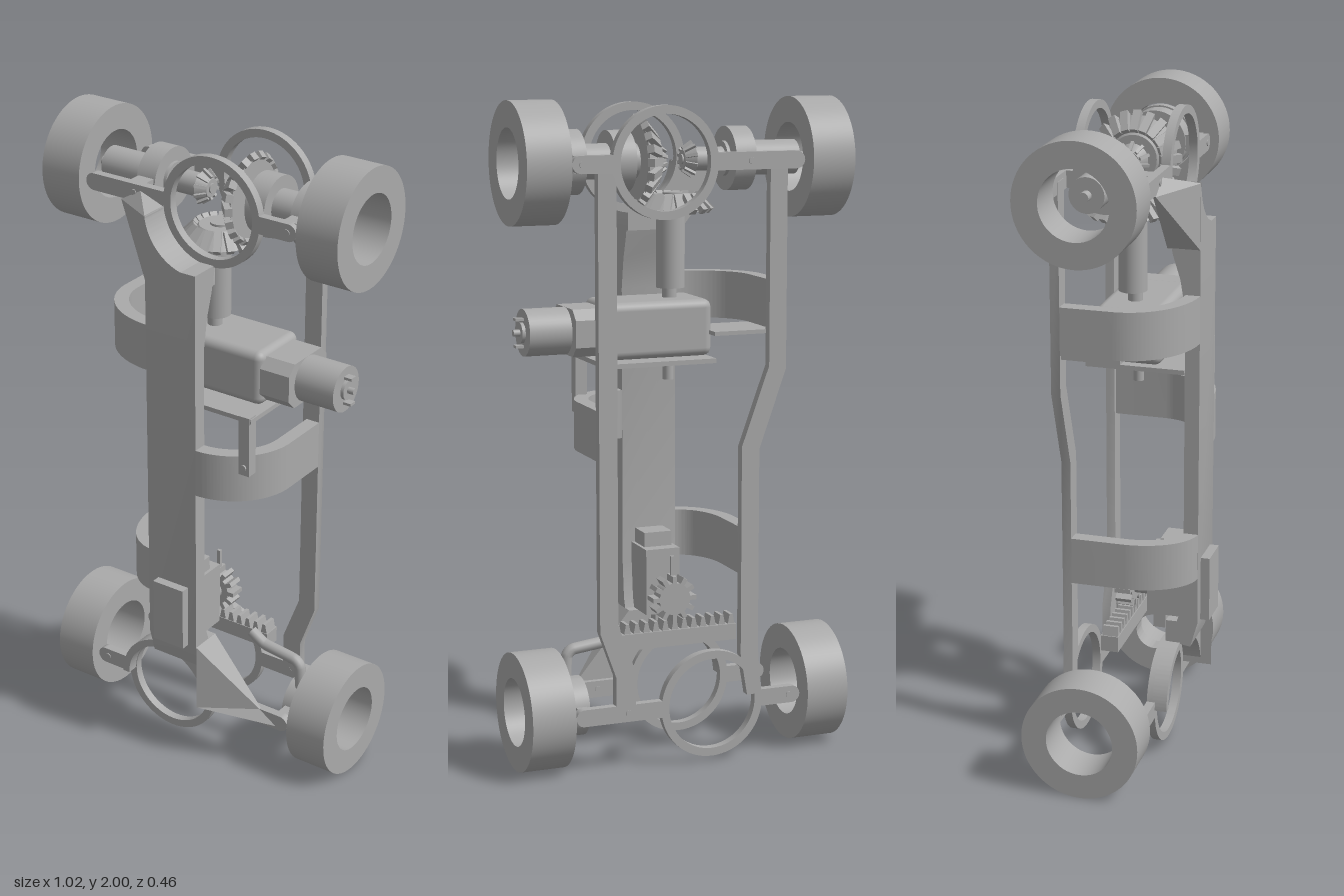
import * as THREE from 'three';
import { toCreasedNormals } from 'three/addons/utils/BufferGeometryUtils.js';
import { RoundedBoxGeometry } from 'three/addons/geometries/RoundedBoxGeometry.js';

const grey = new THREE.MeshStandardMaterial({ color: 0xaaaaaa });
grey.name = 'plain grey';
const AXLE_Z = -0.048, TOP = 1.82, LOW = 0.185;

export function createModel() {
  const model = new THREE.Group();

  const add = (name, geo, x = 0, y = 0, z = 0, parent = model) => {
    const m = new THREE.Mesh(geo, grey);
    m.name = name;
    m.position.set(x, y, z);
    parent.add(m);
    return m;
  };
  // box given by its limits
  const box = (name, x0, x1, y0, y1, z0, z1) =>
    add(name, new THREE.BoxGeometry(x1 - x0, y1 - y0, z1 - z0), (x0 + x1) / 2, (y0 + y1) / 2, (z0 + z1) / 2);
  const extrude = (shape, depth) => toCreasedNormals(
    new THREE.ExtrudeGeometry(shape, { depth, bevelEnabled: false, curveSegments: 32 }), 0.5);
  const polygon = (pts) => new THREE.Shape(pts.map(([x, y]) => new THREE.Vector2(x, y)));
  // front-facing plate between two z limits
  const plate = (name, shape, z0, z1) => add(name, extrude(shape, z1 - z0), 0, 0, z0);
  const ringShape = (x, y, r, hole) => {
    const s = new THREE.Shape().absarc(x, y, r, 0, Math.PI * 2);
    s.holes.push(new THREE.Path().absarc(x, y, hole, 0, Math.PI * 2, true));
    return s;
  };
  // solid or hollow round part along x
  const roundX = (name, x0, x1, r, y, z = AXLE_Z, hole = 0) => {
    const geo = hole
      ? extrude(ringShape(0, 0, r, hole), x1 - x0).translate(0, 0, -(x1 - x0) / 2).rotateY(Math.PI / 2)
      : new THREE.CylinderGeometry(r, r, x1 - x0, 40).rotateZ(Math.PI / 2);
    return add(name, geo, (x0 + x1) / 2, y, z);
  };
  const roundY = (name, x, z, y0, y1, r) =>
    add(name, new THREE.CylinderGeometry(r, r, y1 - y0, 32), x, (y0 + y1) / 2, z);
  const roundZ = (name, x, y, z0, z1, r) =>
    add(name, new THREE.CylinderGeometry(r, r, z1 - z0, 24).rotateX(Math.PI / 2), x, y, (z0 + z1) / 2);

  // wheels
  for (const y of [LOW, TOP]) for (const s of [-1, 1]) {
    roundX('wheel', s > 0 ? 0.375 : -0.51, s > 0 ? 0.51 : -0.375, 0.18, y, AXLE_Z, 0.103);
  }

  // paired end plates, each with a large ring
  for (const [z0, z1] of [[0.082, 0.108], [-0.186, -0.16]]) {
    for (const [cx, y, s] of [[0.075, TOP, 1], [-0.075, LOW, -1]]) {
      plate('endRing', ringShape(cx, y, 0.165, 0.14), z0, z1);
      const inner = cx - 0.153, outer = cx + 0.153;
      for (const [a, b, tip] of [[-0.34, inner, -0.34], [outer, 0.335, 0.335]]) {
        box('endPlateArm', a, b, y - 0.026, y + 0.026, z0, z1);
        roundZ('endPlateTip', tip, y, z0, z1, 0.026);
        roundZ('pivotScrew', Math.sign(tip) * (tip * s > 0 ? 0.33 : 0.195), y, z0 - 0.003, z1 + 0.003, 0.01);
      }
    }
  }

  // rear rails
  plate('rightRail', polygon([[-0.31, 1.83], [-0.31, 1.2], [-0.225, 0.96], [-0.225, 0.35], [-0.235, 0.2],
    [-0.19, 0.2], [-0.168, 0.33], [-0.168, 0.97], [-0.255, 1.21], [-0.255, 1.83]]), -0.186, -0.158);
  plate('leftRail', polygon([[0.285, 1.83], [0.228, 1.83], [0.228, 0.46], [0.172, 0.31], [0.172, 0.18],
    [0.235, 0.18], [0.235, 0.3], [0.285, 0.44]]), -0.186, -0.158);

  // spine, from its side profile of (z, y)
  const spine = polygon([[0.2, 0.42], [0.2, 1.66], [0.1, 1.66], [0.118, 1.58], [0.14, 1.51], [0.155, 1.42],
    [0.155, 0.56], [0.145, 0.45], [0.11, 0.35], [0.178, 0.34]]);
  add('spine', extrude(spine, 0.175).rotateY(-Math.PI / 2), 0.085, 0, 0);

  // saddle gussets hugging the rings
  const upper = new THREE.Shape();
  upper.moveTo(-0.09, 1.6).lineTo(0.085, 1.6).lineTo(0.085, 1.655);
  upper.absarc(0.075, TOP, 0.165, -Math.PI / 2 + 0.06, -Math.PI + 0.1, true);
  upper.lineTo(-0.09, 1.8);
  plate('upperSaddle', upper, 0.1, 0.2);
  const lower = new THREE.Shape();
  lower.moveTo(-0.09, 0.42).lineTo(-0.09, 0.35);
  lower.absarc(-0.075, LOW, 0.165, Math.PI / 2, 0.1, true);
  lower.lineTo(0.11, 0.2).lineTo(0.085, 0.42);
  plate('lowerSaddle', lower, 0.1, 0.165);
  const arc = new THREE.Shape();
  arc.absarc(-0.075, LOW, 0.165, Math.PI / 2, Math.PI, false);
  arc.absarc(-0.075, LOW, 0.142, Math.PI, Math.PI / 2, true);
  plate('lowerSaddleLip', arc, 0.1, 0.145);

  // wedge wings fading from the spine to the end plate arms
  const wing = (name, root, tip) => {
    const [a, b] = root, [c, d] = tip;
    const p = [[...a, 0.2], [...b, 0.2], [...a, 0.1], [...b, 0.1], [...c, 0.108], [...d, 0.108], [...c, 0.1], [...d, 0.1]];
    const geo = new THREE.BufferGeometry();
    geo.setAttribute('position', new THREE.Float32BufferAttribute(p.flat(), 3));
    geo.setIndex([0, 4, 5, 0, 5, 1, 2, 3, 7, 2, 7, 6, 0, 2, 6, 0, 6, 4, 1, 5, 7, 1, 7, 3, 4, 6, 7, 4, 7, 5, 0, 1, 3, 0, 3, 2]);
    const flat = geo.toNonIndexed();
    flat.computeVertexNormals();
    add(name, flat);
  };
  wing('upperWing', [[-0.088, 1.8], [-0.088, 1.6]], [[-0.17, 1.83], [-0.24, 1.79]]);
  wing('lowerWing', [[0.086, 0.2], [0.086, 0.42]], [[0.32, 0.17], [0.26, 0.21]]);

  // curved straps joining the spine to the rails
  const strap = (side, edge, y0, y1) => {
    const t = 0.044, rx = edge - 0.08, s = new THREE.Shape();
    s.moveTo(0.08, -0.2);
    s.absellipse(0.08, 0, rx, 0.2, -Math.PI / 2, 0, false);
    s.lineTo(edge, 0.16).lineTo(edge - t, 0.16).lineTo(edge - t, 0);
    s.absellipse(0.08, 0, rx - t, 0.156, 0, -Math.PI / 2, true);
    const g = extrude(s, y1 - y0).rotateX(-Math.PI / 2);
    if (side < 0) g.rotateY(Math.PI).scale(1, 1, 1);
    if (side < 0) { // turn over so the curve still bulges to the front
      g.rotateX(Math.PI).translate(0, y1 - y0, 0);
    }
    add('strap', g, 0, y0, 0);
  };
  strap(-1, 0.31, 1.32, 1.465);
  strap(1, 0.285, 0.955, 1.105);
  strap(-1, 0.225, 0.57, 0.715);

  // drive axle and bearings
  roundX('rightAxle', -0.39, -0.155, 0.052, TOP);
  roundX('rightAxleEnd', -0.155, -0.06, 0.035, TOP);
  roundX('leftAxle', 0.12, 0.39, 0.052, TOP);
  roundX('diffHousing', 0.145, 0.21, 0.09, TOP);
  roundX('leftHubFlange', 0.355, 0.38, 0.1, TOP);
  for (const [a, b] of [[-0.23, -0.165], [0.3, 0.355]]) {
    roundX('bearing', a, b, 0.095, TOP, AXLE_Z, 0.05);
    box('bearingPinFront', a + 0.005, b - 0.005, TOP - 0.025, TOP + 0.025, 0.03, 0.09);
    box('bearingPinBack', a + 0.005, b - 0.005, TOP - 0.025, TOP + 0.025, -0.165, -0.13);
  }
  for (const s of [-1, 1]) roundX('axlePin', s > 0 ? 0.39 : -0.42, s > 0 ? 0.42 : -0.39, 0.015, TOP);

  // bevel gears: cone core with tilted teeth, axis along +y
  const bevelGear = (name, r, h, n, hub) => {
    const g = new THREE.Group();
    g.name = name;
    add('gearCore', new THREE.CylinderGeometry(r * 0.5, r * 0.86, h, 32), 0, 0, 0, g);
    add('gearHub', new THREE.CylinderGeometry(hub, hub, h * 1.3, 24), 0, 0, 0, g);
    const slope = Math.atan2(h, r * 0.36);
    for (let i = 0; i < n; i++) {
      const arm = new THREE.Group();
      arm.rotation.y = (i / n) * Math.PI * 2;
      const len = Math.hypot(h, r * 0.36);
      const tooth = add('tooth', new THREE.BoxGeometry(len, r * 0.16, r * 0.17), r * 0.75, 0, 0, arm);
      tooth.rotation.z = -slope;
      g.add(arm);
    }
    model.add(g);
    return g;
  };
  const crown = bevelGear('crownGear', 0.14, 0.045, 20, 0.03);
  crown.position.set(0.095, TOP, AXLE_Z);
  crown.rotation.z = Math.PI / 2;
  bevelGear('driveGear', 0.125, 0.045, 18, 0.03).position.set(0, 1.695, AXLE_Z);
  for (const [x, turn] of [[-0.045, -1], [0.045, 1]]) {
    const g = bevelGear('diffGear', 0.055, 0.03, 10, 0.015);
    g.position.set(x, TOP, AXLE_Z);
    g.rotation.z = turn * Math.PI / 2;
  }

  // gearbox, motor and drive shaft
  add('gearbox', new RoundedBoxGeometry(0.335, 0.17, 0.205, 3, 0.025), 0.067, 1.325, -0.018);
  const motor = extrude(polygon([[-0.1, -0.04], [-0.07, -0.07], [0.07, -0.07], [0.1, -0.04],
    [0.1, 0.04], [0.07, 0.07], [-0.07, 0.07], [-0.1, 0.04]]), 0.1).rotateY(Math.PI / 2);
  add('motorMount', motor, 0.23, 1.325, -0.018);
  roundX('motorBody', 0.33, 0.46, 0.07, 1.325, -0.018);
  roundX('motorCap', 0.46, 0.47, 0.03, 1.325, -0.018);
  roundX('motorShaft', 0.47, 0.49, 0.01, 1.325, -0.018);
  for (const s of [-1, 1]) box('motorTerminal', 0.46, 0.485, 1.325 + s * 0.04 - 0.004, 1.325 + s * 0.04 + 0.004, -0.03, -0.005);
  roundY('driveShaft', 0, -0.03, 1.44, 1.68, 0.043);
  roundY('driveShaftNeck', 0, -0.022, 1.4, 1.45, 0.022);
  roundY('gearboxStub', 0, -0.012, 1.16, 1.25, 0.016);
  box('motorShelf', -0.1, 0.25, 1.222, 1.236, -0.148, 0.155);
  box('rightShelf', -0.3, -0.09, 1.305, 1.317, -0.16, 0.02);
  box('motorBracket', 0.21, 0.247, 1.05, 1.24, 0.125, 0.16);
  roundZ('bracketScrew', 0.228, 1.075, 0.12, 0.165, 0.01);

  // steering servo with pinion
  box('servo', -0.055, 0.055, 0.42, 0.625, 0.03, 0.228);
  box('servoLug', -0.045, 0.045, 0.6, 0.67, 0.07, 0.15);
  box('servoFoot', -0.02, 0.02, 0.36, 0.42, 0.04, 0.08);
  roundZ('servoShaft', 0, 0.49, -0.07, 0.035, 0.028);
  roundZ('pinion', 0, 0.49, -0.07, -0.02, 0.05);
  for (let i = 0; i < 12; i++) {
    const a = (i / 12) * Math.PI * 2;
    add('pinionTooth', new THREE.BoxGeometry(0.03, 0.014, 0.05), Math.cos(a) * 0.055, 0.49 + Math.sin(a) * 0.055, -0.045).rotation.z = a;
  }
  box('pinionPost', -0.006, 0.006, 0.54, 0.62, -0.052, -0.042);

  // steering rack, tie rod and knuckle
  box('rack', -0.2, 0.2, 0.345, 0.395, -0.075, -0.02);
  for (let i = 0; i < 13; i++) {
    const x = -0.186 + i * 0.031;
    plate('rackTooth', polygon([[x - 0.012, 0.39], [x + 0.012, 0.39], [x + 0.005, 0.425], [x - 0.005, 0.425]]), -0.07, -0.022);
  }
  const rod = new THREE.CatmullRomCurve3([[0.15, 0.395], [0.2, 0.365], [0.31, 0.35], [0.33, 0.33], [0.335, 0.25]]
    .map(([x, y]) => new THREE.Vector3(x, y, -0.01)), false, 'catmullrom', 0.2);
  add('tieRod', new THREE.TubeGeometry(rod, 32, 0.018, 12));
  roundX('knuckle', 0.3, 0.355, 0.09, LOW, AXLE_Z, 0.06);
  box('knucklePinFront', 0.31, 0.345, LOW - 0.02, LOW + 0.02, 0.03, 0.09);
  box('knucklePinBack', 0.31, 0.345, LOW - 0.02, LOW + 0.02, -0.165, -0.125);

  return model;
}
